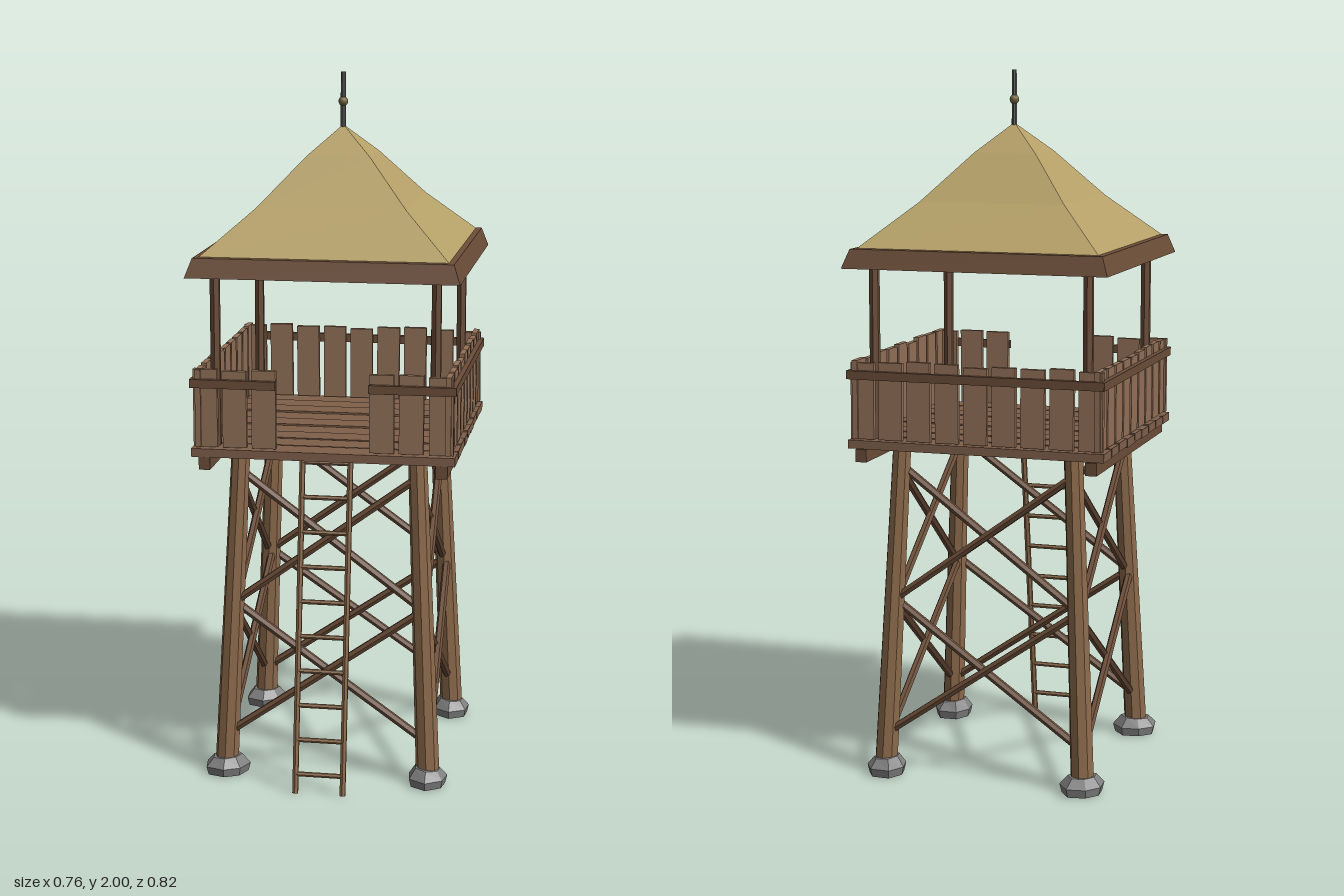
import * as THREE from 'three';

const mat = (name, color) => {
  const m = new THREE.MeshStandardMaterial({ color });
  m.name = name;
  return m;
};

export function createModel() {
  const legWood = mat('leg wood', 0x8c6a4b);
  const plankWood = mat('plank wood', 0x927057);
  const floorWood = mat('floor wood', 0x80604a);
  const darkWood = mat('dark wood', 0x6b4d38);
  const thatch = mat('thatch', 0xb5a068);
  const stone = mat('stone', 0x808080);
  const iron = mat('iron', 0x5c5c5c);
  const brass = mat('aged brass', 0x75673f);

  let seed = 7;
  const jitter = (a) => {
    seed = (seed * 16807) % 2147483647;
    return (seed / 2147483647 - 0.5) * 2 * a;
  };

  const model = new THREE.Group();
  const tower = new THREE.Group();
  tower.name = 'tower';
  tower.position.z = -0.03;
  model.add(tower);

  const add = (parent, name, geometry, material) => {
    const mesh = new THREE.Mesh(geometry, material);
    mesh.name = name;
    parent.add(mesh);
    return mesh;
  };
  const box = (parent, name, material, w, h, d, x, y, z) => {
    const mesh = add(parent, name, new THREE.BoxGeometry(w, h, d), material);
    mesh.position.set(x, y, z);
    return mesh;
  };
  // Faceted pole between two points
  const pole = (parent, name, material, a, b, r0, r1 = r0, sides = 6) => {
    const dir = b.clone().sub(a);
    const g = new THREE.CylinderGeometry(r1, r0, dir.length(), sides).toNonIndexed();
    g.computeVertexNormals();
    const mesh = add(parent, name, g, material);
    mesh.position.copy(a).add(b).multiplyScalar(0.5);
    mesh.quaternion.setFromUnitVectors(new THREE.Vector3(0, 1, 0), dir.normalize());
    return mesh;
  };
  const V = (x, y, z) => new THREE.Vector3(x, y, z);
  const legAt = (y) => 0.295 - 0.045 * y;

  // Corner legs, foundation stones and roof posts
  for (const sx of [-1, 1]) for (const sz of [-1, 1]) {
    const p = (y) => V(sx * legAt(y), y, sz * legAt(y));
    pole(tower, 'leg', legWood, p(0.02), p(0.955), 0.034, 0.027, 8);
    pole(tower, 'roofPost', darkWood, V(sx * 0.309, 0.96, sz * 0.309), V(sx * 0.309, 1.48, sz * 0.309), 0.015);

    const profile = [[0, 0], [0.056, 0], [0.062, 0.024], [0.04, 0.05], [0, 0.054]];
    const rockGeo = new THREE.LatheGeometry(profile.map(([r, y]) => new THREE.Vector2(r, y)), 7);
    const pos = rockGeo.attributes.position;
    const turn = jitter(3);
    for (let i = 0; i < pos.count; i++) {
      const a = Math.atan2(pos.getZ(i), pos.getX(i));
      const s = 1 + 0.1 * Math.sin(2 * a + turn);
      const y = pos.getY(i);
      pos.setXYZ(i, pos.getX(i) * s, y > 0.03 ? y + 0.1 * pos.getX(i) * Math.sin(turn) : y, pos.getZ(i) * s);
    }
    const flat = rockGeo.toNonIndexed();
    flat.computeVertexNormals();
    add(tower, 'foundationStone', flat, stone).position.set(sx * 0.293, 0, sz * 0.293);
  }

  // Two tiers of cross braces and a railing on each of the four sides
  for (let side = 0; side < 4; side++) {
    const face = new THREE.Group();
    face.name = ['front', 'left', 'back', 'right'][side] + 'Side';
    face.rotation.y = side * Math.PI / 2;
    tower.add(face);

    for (const [y0, y1] of [[0.12, 0.51], [0.51, 0.895]]) for (const s of [-1, 1]) {
      const o = s * 0.006;
      pole(face, 'crossBrace', darkWood,
        V(-s * legAt(y0), y0, legAt(y0) + o), V(s * legAt(y1), y1, legAt(y1) + o), 0.012);
    }

    // The front side keeps an opening for the ladder
    const open = side === 0;
    for (let i = -4; i <= 4; i++) {
      if (open && Math.abs(i) < 2) continue;
      const h = 0.218 + jitter(0.005);
      const slat = box(face, 'railingSlat', plankWood, 0.068, h, 0.016, i * 0.0825, 0.985 + h / 2, 0.35);
      slat.rotation.z = jitter(0.012);
    }
    if (open) for (const s of [-1, 1]) box(face, 'handRail', darkWood, 0.24, 0.024, 0.016, s * 0.25, 1.166, 0.364);
    else box(face, 'handRail', darkWood, 0.74, 0.024, 0.016, 0, 1.166, 0.364);
  }

  // Platform beams and floor planks
  for (const s of [-1, 1]) box(tower, 'floorBeam', darkWood, 0.032, 0.036, 0.73, s * 0.333, 0.938, 0);
  for (let i = -4; i <= 4; i++) {
    box(tower, 'floorPlank', floorWood, 0.74, 0.024, 0.077, 0, 0.97 + jitter(0.004), i * 0.0822);
  }

  // Ladder
  const ladder = new THREE.Group();
  ladder.name = 'ladder';
  model.add(ladder);
  const ladderZ = (y) => 0.397 - 0.145 * y;
  for (const s of [-1, 1]) {
    pole(ladder, 'ladderRail', legWood, V(s * 0.068, 0, ladderZ(0)), V(s * 0.068, 0.965, ladderZ(0.965)), 0.009);
  }
  for (let i = 0; i < 10; i++) {
    const y = 0.055 + i * 0.0978;
    pole(ladder, 'ladderRung', legWood, V(-0.068, y, ladderZ(y)), V(0.068, y, ladderZ(y)), 0.007);
  }

  // Square hipped shape from [half width, height] rings
  const hipped = (rings) => {
    const points = [];
    const corner = ([r, y], k) => V(r * [1, 1, -1, -1][k % 4], y, r * [1, -1, -1, 1][k % 4]);
    for (let i = 0; i < rings.length - 1; i++) for (let k = 0; k < 4; k++) {
      const a = corner(rings[i], k), b = corner(rings[i], k + 1);
      const c = corner(rings[i + 1], k + 1), d = corner(rings[i + 1], k);
      if (rings[i][0] > 0) points.push(a, b, c);
      if (rings[i + 1][0] > 0) points.push(a, c, d);
    }
    const g = new THREE.BufferGeometry().setFromPoints(points);
    g.computeVertexNormals();
    return g;
  };
  add(tower, 'eaves', hipped([[0, 1.462], [0.38, 1.462], [0.361, 1.515], [0.34, 1.517], [0, 1.517]]), darkWood);
  add(tower, 'thatchedRoof', hipped([[0.347, 1.515], [0.21, 1.638], [0.09, 1.77], [0, 1.852]]), thatch);

  // Finial
  pole(tower, 'finialRod', iron, V(0, 1.83, 0), V(0, 2, 0), 0.008, 0.007, 8);
  add(tower, 'finialBall', new THREE.SphereGeometry(0.014, 10, 8), brass).position.y = 1.917;

  return model;
}
